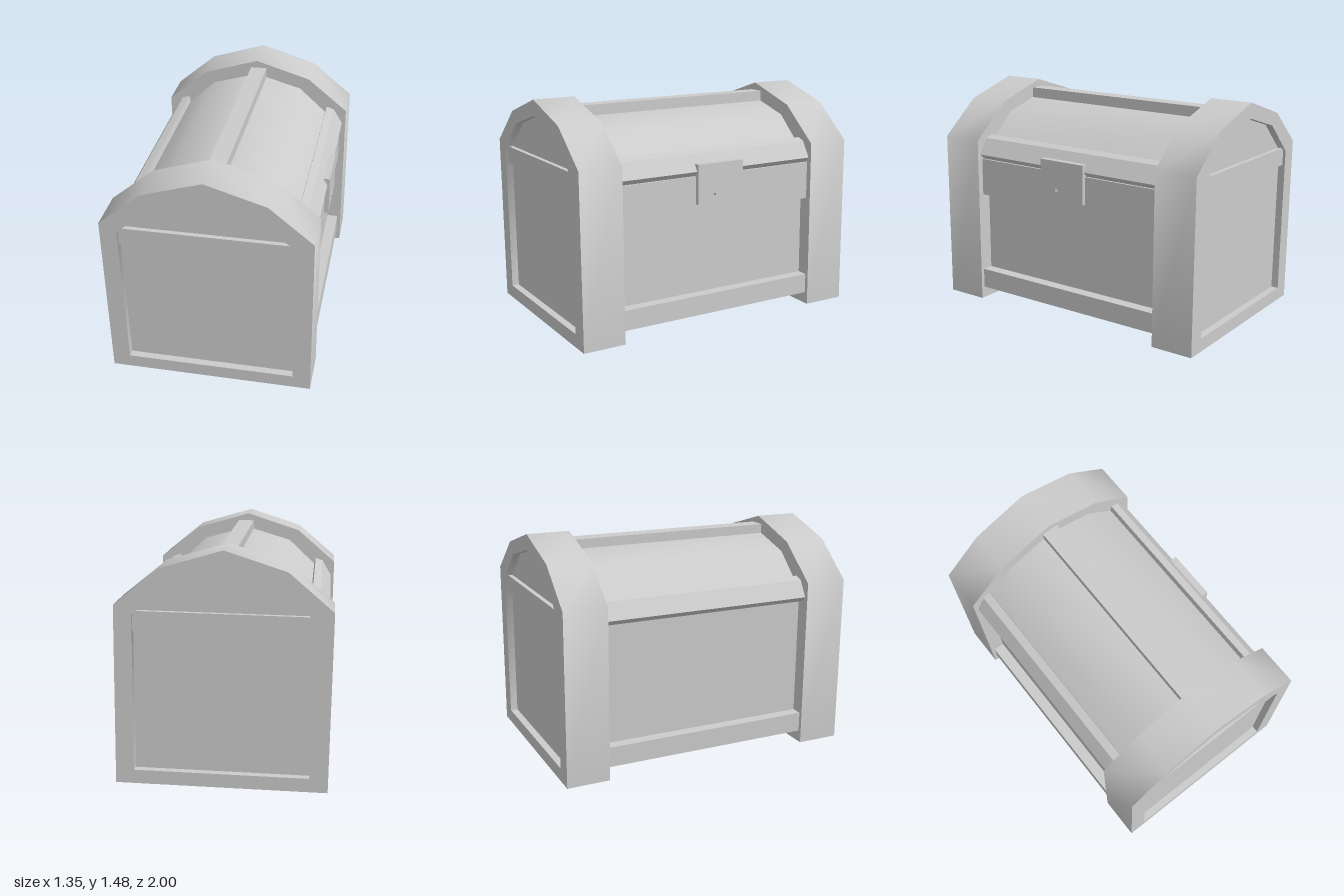
import * as THREE from 'three';
import { toCreasedNormals } from 'three/addons/utils/BufferGeometryUtils.js';

const material = new THREE.MeshStandardMaterial({ color: 0xcccccc });

// Closed, symmetric outline from its right half, listed bottom to top (apex last, on x = 0)
function mirrored(half) {
  const left = half.slice(0, -1).reverse().map(([x, y]) => [-x, y]);
  return [...half, ...left];
}

const toPoints = (outline) => outline.map(([x, y]) => new THREE.Vector2(x, y));

export function createModel() {
  const model = new THREE.Group();
  model.name = 'treasureChest';
  const chest = new THREE.Group();
  chest.name = 'chest';
  model.add(chest);

  function add(name, geometry) {
    const mesh = new THREE.Mesh(geometry, material);
    mesh.name = name;
    chest.add(mesh);
    return mesh;
  }

  // Box given by its limits on each axis
  function box(name, [x0, x1], [y0, y1], [z0, z1]) {
    const mesh = add(name, new THREE.BoxGeometry(x1 - x0, y1 - y0, z1 - z0));
    mesh.position.set((x0 + x1) / 2, (y0 + y1) / 2, (z0 + z1) / 2);
    return mesh;
  }

  // Cross-section in x/y run along z, with smooth shading over the shallow corners
  function prism(name, outline, [z0, z1], hole, crease = 0.95) {
    const shape = new THREE.Shape(toPoints(outline));
    if (hole) shape.holes.push(new THREE.Path(toPoints(hole)));
    const geometry = new THREE.ExtrudeGeometry(shape, { depth: z1 - z0, bevelEnabled: false });
    geometry.translate(0, 0, z0);
    return add(name, toCreasedNormals(geometry, crease));
  }

  // Body and arched lid
  box('body', [-0.555, 0.555], [0.1, 1.09], [-0.945, 0.945]);
  prism('lid', mirrored([[0.55, 1.08], [0.315, 1.295], [0, 1.385]]), [-0.945, 0.945]);

  // Thick frames round both ends, each with a recessed panel
  const frame = mirrored([[0.655, 0.012], [0.655, 1.14], [0.38, 1.37], [0, 1.487]]);
  const opening = mirrored([[0.54, 0.1], [0.545, 1.085], [0.315, 1.295], [0, 1.385]]);
  const middle = [-0.72, 0.72];
  for (const [end, s] of [['front', 1], ['back', -1]]) {
    const span = (a, b) => [a * s, b * s].sort((p, q) => p - q);
    prism(`${end}Frame`, frame, span(0.708, 0.993), opening);
    box(`${end}EndBand`, [-0.56, 0.56], [0.985, 1.105], span(0.93, 0.975));
  }

  // Lid rims and bottom rails on both long sides
  const rim = [[0.5, 1.1], [0.6, 1.01], [0.63, 1.042], [0.567, 1.147], [0.515, 1.165]];
  for (const [side, s] of [['left', 1], ['right', -1]]) {
    const outline = rim.map(([x, y]) => [x * s, y]);
    prism(`${side}LidRim`, outline, middle, null, 0.2);
    const [x0, x1] = [0.53 * s, 0.63 * s].sort((a, b) => a - b);
    box(`${side}BottomRail`, [x0, x1], [0.09, 0.222], middle);
  }

  // Ridge along the top of the lid
  box('lidRidge', [-0.042, 0.07], [1.34, 1.435], middle);

  // Belt, lock plate and small catch on the opening side
  box('belt', [0.54, 0.615], [0.76, 1.01], middle);
  box('lockPlate', [0.595, 0.645], [0.83, 1.09], [-0.165, 0.17]);
  const catchMesh = add('lockCatch', new THREE.ConeGeometry(0.018, 0.014, 4));
  catchMesh.rotation.z = -Math.PI / 2;
  catchMesh.position.set(0.651, 0.895, 0.045);

  // The chest sits slightly crooked
  chest.rotation.set(0, 0.011, 0.015, 'YXZ');
  model.updateMatrixWorld(true);
  const bounds = new THREE.Box3().setFromObject(chest, true);
  const centre = bounds.getCenter(new THREE.Vector3());
  chest.position.set(-centre.x, -bounds.min.y, -centre.z);
  return model;
}
